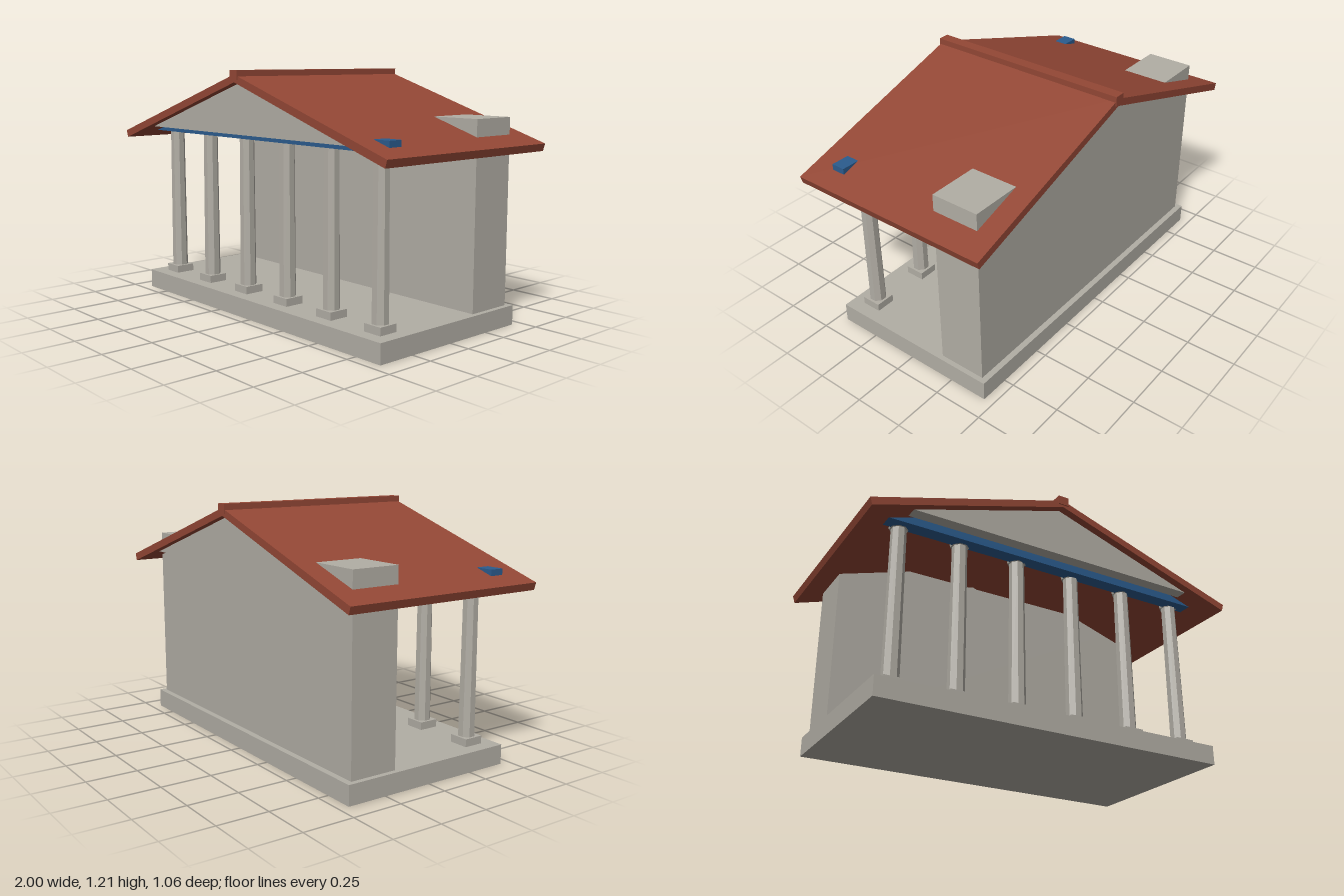
import * as THREE from 'three';

export function createModel() {
  const model = new THREE.Group();
  model.name = 'temple';

  const stone = new THREE.MeshStandardMaterial({ color: 0xb2aea5 });
  stone.name = 'stone';
  const tile = new THREE.MeshStandardMaterial({ color: 0x934735 });
  tile.name = 'roofTile';
  const blue = new THREE.MeshStandardMaterial({ color: 0x2b5c8e });
  blue.name = 'paintedBlue';

  const add = (name, geometry, material, parent = model) => {
    const mesh = new THREE.Mesh(geometry, material);
    mesh.name = name;
    parent.add(mesh);
    return mesh;
  };

  // Box given by its lower and upper corners
  const box = (name, [x0, y0, z0], [x1, y1, z1], material, parent) => {
    const mesh = add(name, new THREE.BoxGeometry(x1 - x0, y1 - y0, z1 - z0), material, parent);
    mesh.position.set((x0 + x1) / 2, (y0 + y1) / 2, (z0 + z1) / 2);
    return mesh;
  };

  // Outline in x and y, extruded from z0 to z1
  const prism = (name, points, z0, z1, material) => {
    const shape = new THREE.Shape(points.map(([x, y]) => new THREE.Vector2(x, y)));
    const geometry = new THREE.ExtrudeGeometry(shape, { depth: z1 - z0, bevelEnabled: false });
    return add(name, geometry.translate(0, 0, z0), material);
  };

  // Eight-sided drum with a flat side to the front
  const drum = (name, rTop, rBottom, y0, y1, parent) => {
    const geometry = new THREE.CylinderGeometry(rTop, rBottom, y1 - y0, 8).toNonIndexed();
    geometry.rotateY(Math.PI / 8);
    geometry.computeVertexNormals();
    add(name, geometry, stone, parent).position.y = (y0 + y1) / 2;
  };

  // Platform and rear chamber
  box('platform', [-0.9, 0, -0.45], [0.9, 0.096, 0.45], stone);
  box('chamber', [-0.875, 0.096, -0.42], [0.875, 0.998, -0.18], stone);

  // Row of six columns
  for (let i = 0; i < 6; i++) {
    const column = new THREE.Group();
    column.name = 'column';
    column.position.set(-0.783 + i * 0.3132, 0, 0.334);
    box('plinth', [-0.05, 0.096, -0.05], [0.05, 0.134, 0.05], stone, column);
    drum('shaft', 0.037, 0.041, 0.134, 0.88, column);
    drum('capital', 0.05, 0.045, 0.88, 0.908, column);
    model.add(column);
  }

  // Beam over the columns
  box('beam', [-0.9, 0.88, 0.34], [0.9, 0.937, 0.41], blue);

  // Gables at both ends
  const gable = [[-0.79, 0.908], [0.79, 0.908], [0, 1.16]];
  prism('frontGable', gable, 0.425, 0.485, stone);
  prism('backGable', gable, -0.485, -0.425, stone);

  // Two roof slopes and the ridge
  prism('leftRoofSlope', [[0, 1.157], [0.989, 0.84], [1, 0.876], [0, 1.194]], -0.525, 0.525, tile);
  prism('rightRoofSlope', [[0, 1.194], [-1, 0.876], [-0.989, 0.84], [0, 1.157]], -0.525, 0.525, tile);
  box('ridge', [-0.028, 1.168, -0.53], [0.028, 1.214, 0.53], tile);

  return model;
}
